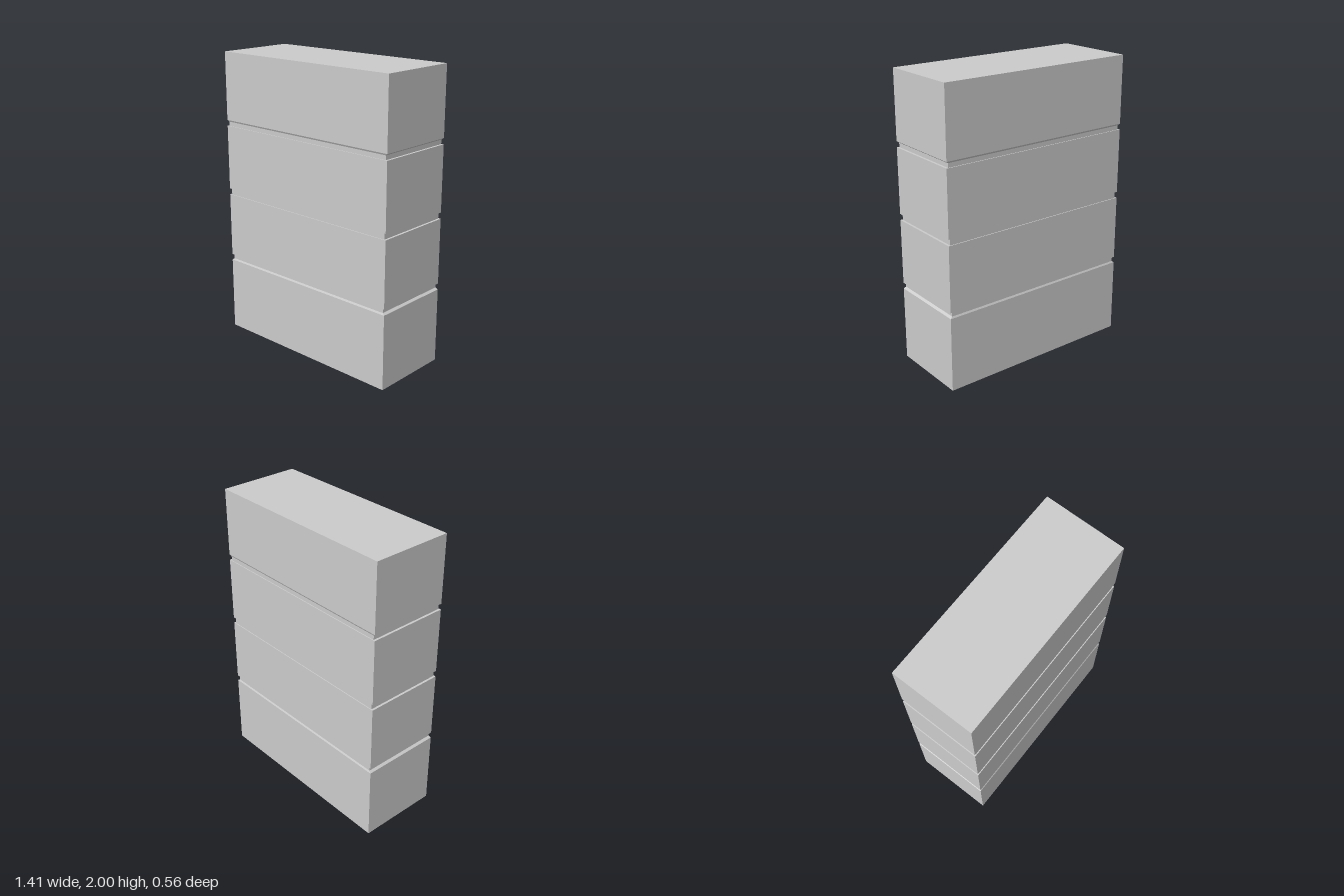
import * as THREE from 'three';

const HALF_X = 0.703, HALF_Z = 0.279;
const INSET_X = 0.015, INSET_Z = 0.006;

// Solid of stacked rectangles; each ring is [height, inset 0..1]
function rectLoft(rings) {
  const pos = [];
  const corners = rings.map(([y, t]) => {
    const x = HALF_X - t * INSET_X, z = HALF_Z - t * INSET_Z;
    return [[x, y, z], [x, y, -z], [-x, y, -z], [-x, y, z]];
  });
  const quad = (a, b, c, d) => pos.push(...a, ...b, ...c, ...a, ...c, ...d);
  for (let i = 0; i < corners.length - 1; i++) {
    const lo = corners[i], hi = corners[i + 1];
    for (let k = 0; k < 4; k++) {
      const n = (k + 1) % 4;
      quad(lo[k], lo[n], hi[n], hi[k]);
    }
  }
  const bottom = corners[0], top = corners[corners.length - 1];
  quad(top[0], top[1], top[2], top[3]);
  quad(bottom[3], bottom[2], bottom[1], bottom[0]);
  const geo = new THREE.BufferGeometry();
  geo.setAttribute('position', new THREE.Float32BufferAttribute(pos, 3));
  geo.computeVertexNormals();
  return geo;
}

export function createModel() {
  const group = new THREE.Group();
  group.name = 'groovedBlock';
  const material = new THREE.MeshStandardMaterial({ color: 0xcccccc, flatShading: true });

  // Four drawer-like blocks parted by shallow grooves;
  // the lowest and highest grooves have one sloping edge
  const rings = [
    [0, 0], [0.514, 0], [0.526, 1],
    [0.556, 1], [0.556, 0],
    [1.005, 0], [1.005, 1],
    [1.047, 1], [1.047, 0],
    [1.495, 0], [1.495, 1],
    [1.524, 1], [1.535, 0], [2, 0],
  ];
  const body = new THREE.Mesh(rectLoft(rings), material);
  body.name = 'body';
  group.add(body);
  return group;
}
